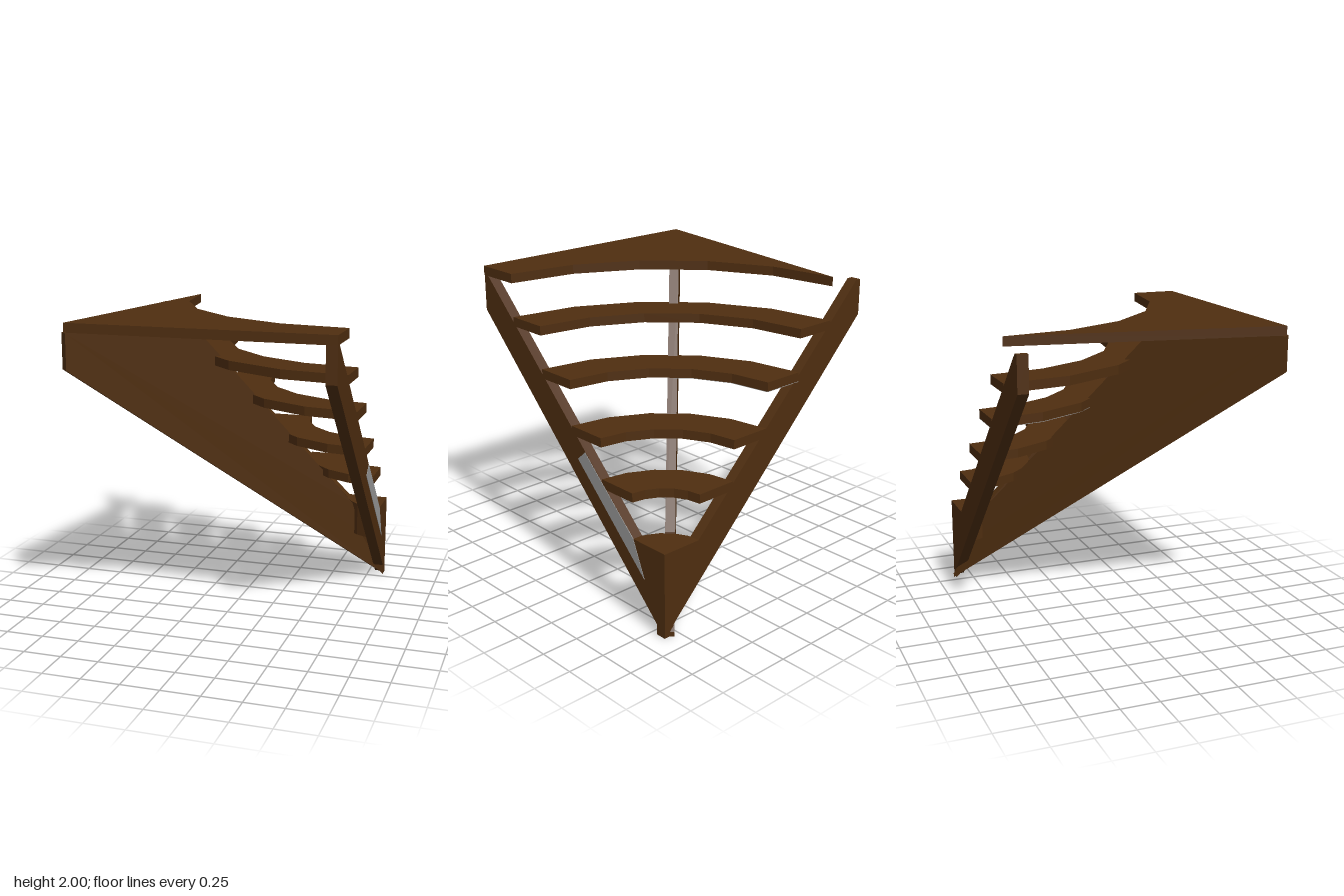
import * as THREE from 'three';

const CX = 0.86, CZ = -0.865; // inner corner that all the treads wind around

export function createModel() {
  const group = new THREE.Group();
  const wood = new THREE.MeshStandardMaterial({ color: 0x4f2e10 });
  wood.name = 'dark wood';
  const grey = new THREE.MeshStandardMaterial({ color: 0x999999 });
  grey.name = 'grey';

  const add = (name, geo, mat = wood) => {
    const mesh = new THREE.Mesh(geo, mat);
    mesh.name = name;
    group.add(mesh);
    return mesh;
  };
  const shapeOf = (pts) => new THREE.Shape(pts.map(([x, y]) => new THREE.Vector2(x, y)));
  const extrude = (pts, depth) =>
    new THREE.ExtrudeGeometry(shapeOf(pts), { depth, bevelEnabled: false });

  // Flat slab from an outline in x and z, reaching down from y = top
  const slab = (pts, top, depth) =>
    extrude(pts, depth).rotateX(Math.PI / 2).translate(0, top, 0);

  // Faceted quarter arc, 18 degrees per side
  const arc = (r, angles = [0, 18, 36, 54, 72, 90]) => angles.map((deg) => {
    const a = THREE.MathUtils.degToRad(deg);
    const k = deg === 45 ? r * Math.cos(Math.PI / 20) : r; // middle of a chord
    return [CX - k * Math.cos(a), CZ + k * Math.sin(a)];
  });

  // Lowest step: solid quarter block
  add('bottomStep', slab([[CX, CZ], ...arc(0.285)], 0.57, 0.23));

  // Curved treads, each one wider and higher than the last
  [0.87, 1.14, 1.44, 1.72].forEach((top, i) => {
    const inner = 0.285 * (i + 1), outer = 0.285 * (i + 2) - 0.003;
    add('tread' + (i + 1), slab([...arc(inner), ...arc(outer).reverse()], top, 0.06));
  });

  // Square landing with a quarter circle cut out
  add('landing', slab([...arc(1.425), [CX, 0.86], [-0.84, 0.86]], 2, 0.06));

  // Side and back stringers share one profile: distance from the corner, height
  const profile = [[0, 0], [1.72, 1.71], [1.72, 1.94], [1.68, 1.94], [0.28, 0.57], [0, 0.57]];
  add('sideStringer', extrude(profile.map(([t, y]) => [CZ + t, y]), 0.07)
    .rotateY(-Math.PI / 2).translate(CX, 0, 0));
  add('backStringer', extrude(profile.map(([t, y]) => [CX - t * 0.988, y]), 0.07)
    .translate(0, 0, CZ));

  // Deep diagonal stringer across the middle
  const diagonal = [[0, 0], [1.663, 1.71], [1.663, 1.94], [1.07, 1.94],
    [0.19, 0.57], [0.14, 0.34], [0, 0.03]];
  const k = Math.hypot(1.665, 1.726) / 1.665;
  const beam = add('diagonalStringer',
    extrude(diagonal.map(([t, y]) => [t * k, y]), 0.062).translate(0, 0, -0.031));
  beam.rotation.y = Math.atan2(-1.726, -1.665);
  beam.position.set(0.822, 0, -0.863);

  // Grey patch on the outside of the side stringer
  add('sidePatch', extrude([[-0.07, 0.937], [-0.14, 1.0], [-0.585, 0.571], [-0.685, 0.333]], 0.004)
    .rotateY(-Math.PI / 2).translate(CX + 0.003, 0, 0), grey);

  // Grey underside on half of one tread
  const half = [0, 18, 36, 45];
  add('treadUnderside',
    slab([...arc(0.855, half), ...arc(1.137, half).reverse()], 1.381, 0.004), grey);

  return group;
}
